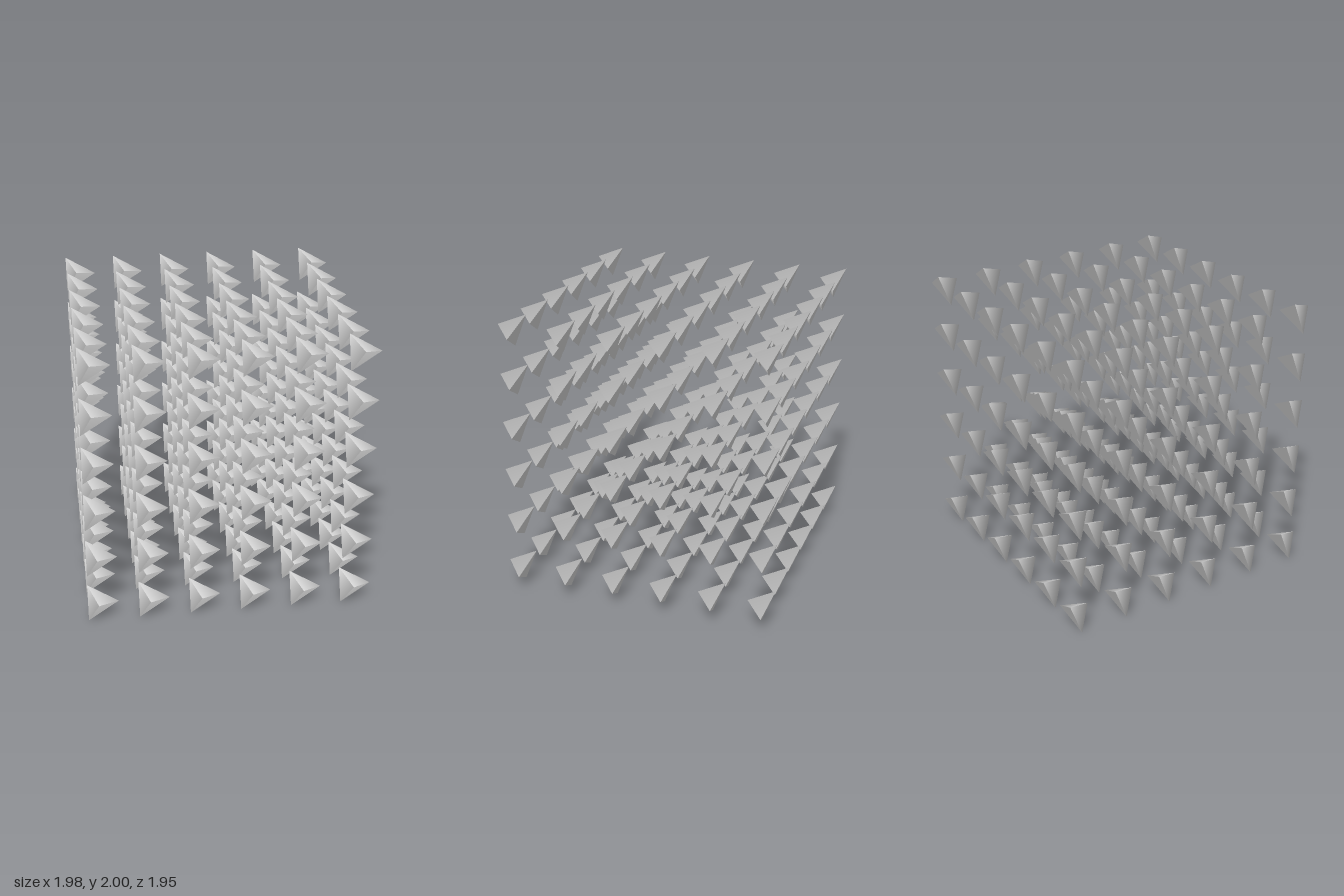
import * as THREE from 'three';

const COUNT = 6;          // cones along each axis
const RADIUS = 0.1417;    // cone radius and height
const SPACING = RADIUS * 2.5;
const TILT = 1.2;         // lean from upright towards the front

export function createModel() {
  const model = new THREE.Group();
  model.name = 'coneLattice';
  const material = new THREE.MeshStandardMaterial({ color: 0xcccccc });

  // Three-sided cone: one base corner towards +x, tip leaning forward
  const cone = new THREE.ConeGeometry(RADIUS, RADIUS, 3);
  cone.rotateY(Math.PI / 2);
  cone.rotateX(TILT);
  cone.center();

  // Cubic grid of identical cones, grouped by layer
  const at = (i) => (i - (COUNT - 1) / 2) * SPACING;
  for (let j = 0; j < COUNT; j++) {
    const layer = new THREE.Group();
    layer.name = `layer${j + 1}`;
    layer.position.y = 1 + at(j);
    for (let i = 0; i < COUNT; i++) {
      for (let k = 0; k < COUNT; k++) {
        const mesh = new THREE.Mesh(cone, material);
        mesh.name = 'cone';
        mesh.position.set(at(i), 0, at(k));
        layer.add(mesh);
      }
    }
    model.add(layer);
  }
  return model;
}
